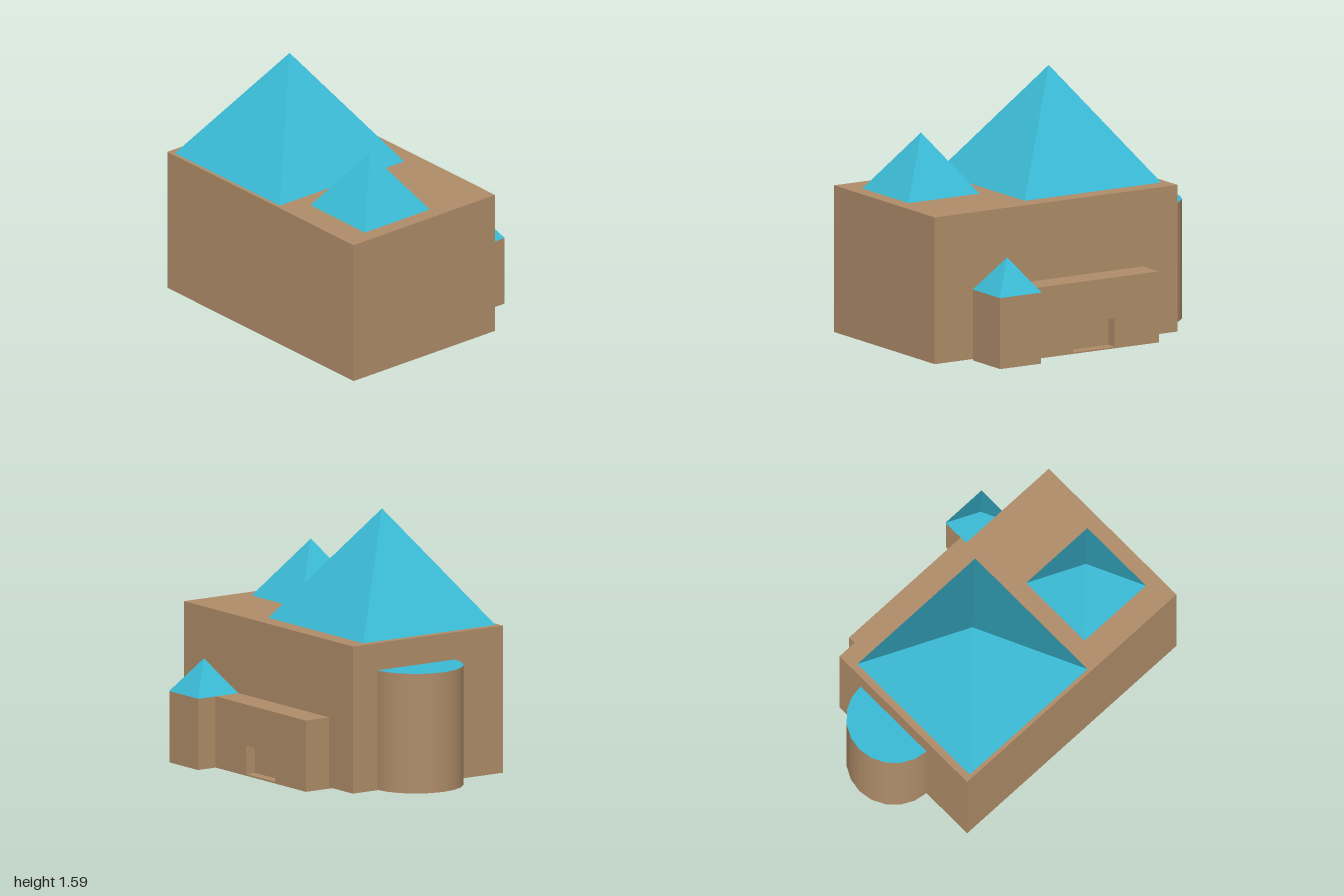
import * as THREE from 'three';

const stone = new THREE.MeshStandardMaterial({ color: 0xb08d69, flatShading: true });
const stoneSmooth = new THREE.MeshStandardMaterial({ color: 0xb08d69 });
const roof = new THREE.MeshStandardMaterial({ color: 0x3bbbd6, flatShading: true });

export function createModel() {
  const group = new THREE.Group();

  const add = (name, geometry, material) => {
    const mesh = new THREE.Mesh(geometry, material);
    mesh.name = name;
    group.add(mesh);
    return mesh;
  };

  // Box given by its limits on each axis
  const block = (name, [x0, x1], [y0, y1], [z0, z1]) =>
    add(name, new THREE.BoxGeometry(x1 - x0, y1 - y0, z1 - z0), stone)
      .position.set((x0 + x1) / 2, (y0 + y1) / 2, (z0 + z1) / 2);

  // Square pyramid standing on height y
  const pyramid = (name, x, y, z, width, height) => {
    const geometry = new THREE.ConeGeometry(width / Math.SQRT2, height, 4);
    geometry.rotateY(Math.PI / 4);
    add(name, geometry, roof).position.set(x, y + height / 2, z);
  };

  // Main hall with its two roofs
  block('mainHall', [-0.7, 0.4], [0.008, 0.9], [-0.72, 1]);
  pyramid('largeRoof', -0.193, 0.9, -0.193, 0.968, 0.685);
  pyramid('smallRoof', -0.282, 0.9, 0.655, 0.504, 0.356);

  // Corner tower
  block('cornerTower', [0.4, 0.7], [0, 0.432], [0.44, 0.73]);
  pyramid('towerRoof', 0.552, 0.432, 0.585, 0.296, 0.205);

  // Side annex: solid core and an outer wall pierced by the doorway recess
  const recess = 0.065;
  block('annexCore', [0.37, 0.57 - recess], [0, 0.432], [-0.48, 0.45]);
  const rect = (path, x0, x1, y0, y1) =>
    path.moveTo(x0, y0).lineTo(x1, y0).lineTo(x1, y1).lineTo(x0, y1).closePath();
  const wall = new THREE.Shape();
  rect(wall, -0.45, 0.48, 0, 0.432);
  const doorway = new THREE.Path();
  rect(doorway, -0.13, 0.165, 0.01, 0.183);
  wall.holes.push(doorway);
  const wallGeometry = new THREE.ExtrudeGeometry(wall, { depth: recess, bevelEnabled: false });
  wallGeometry.rotateY(Math.PI / 2);
  add('annexWall', wallGeometry, stone).position.x = 0.57 - recess;

  // Half-round apse at the back with a flat coloured top
  const apse = new THREE.CylinderGeometry(0.285, 0.285, 0.725, 10, 1, false, Math.PI / 2, Math.PI);
  add('apse', apse, [stoneSmooth, roof, stone]).position.set(-0.065, 0.3725, -0.715);

  return group;
}
